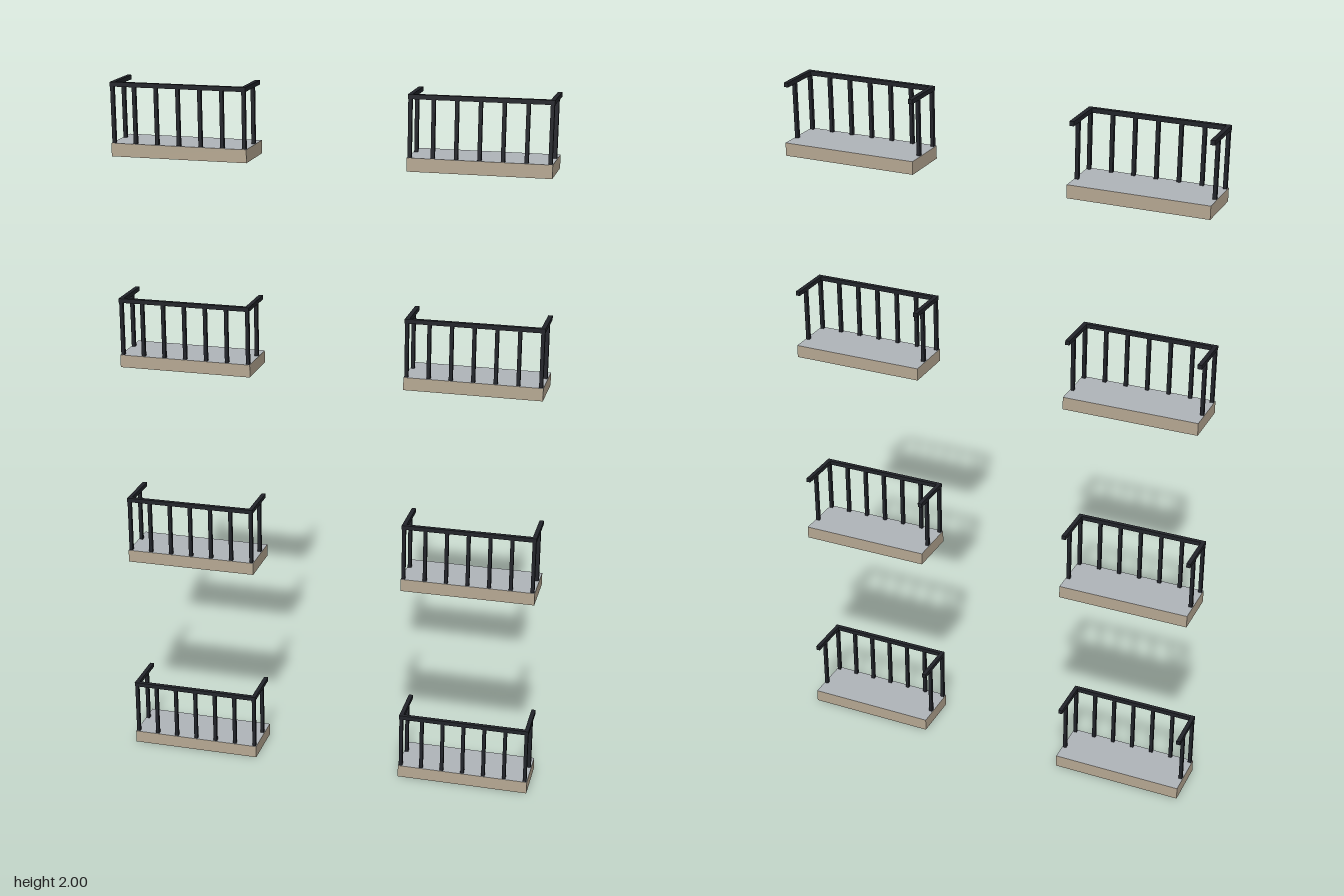
import * as THREE from 'three';

const stone = new THREE.MeshStandardMaterial({ name: 'stone', color: 0xb8aa94 });
const floorGrey = new THREE.MeshStandardMaterial({ name: 'floorGrey', color: 0xb0b5ba });
const iron = new THREE.MeshStandardMaterial({ name: 'iron', color: 0x22242a });

const WIDTH = 0.382, DEPTH = 0.145, SLAB = 0.036, HEIGHT = 0.2;
const RAIL = 0.012, POST = 0.01;

function box(name, material, w, h, d, x, y, z) {
  const mesh = new THREE.Mesh(new THREE.BoxGeometry(w, h, d), material);
  mesh.name = name;
  mesh.position.set(x, y, z);
  return mesh;
}

function createBalcony() {
  const balcony = new THREE.Group();
  balcony.name = 'balcony';

  // Stone slab with a grey walking surface on its top face
  balcony.add(box('slab', [stone, stone, floorGrey, stone, stone, stone],
    WIDTH, SLAB, DEPTH, 0, SLAB / 2, 0));

  // Handrail: front bar and two side bars, open towards the wall
  const railX = WIDTH / 2 - RAIL / 2 - 0.001;
  const railZ = DEPTH / 2 - RAIL / 2 - 0.002;
  const railY = HEIGHT - RAIL / 2;
  const sideFront = railZ - RAIL / 2, sideBack = -0.065;
  balcony.add(box('frontRail', iron, WIDTH - 0.002, RAIL, RAIL, 0, railY, railZ));

  // Balusters along the front
  const postH = HEIGHT - RAIL - SLAB;
  const postY = SLAB + postH / 2;
  for (let i = 0; i < 7; i++) {
    const x = -railX + (2 * railX * i) / 6;
    balcony.add(box('frontPost', iron, POST, postH, POST, x, postY, railZ));
  }

  // Side rails, each on one more post
  for (const s of [-1, 1]) {
    balcony.add(box('sideRail', iron, RAIL, RAIL, sideFront - sideBack,
      s * railX, railY, (sideFront + sideBack) / 2));
    balcony.add(box('sidePost', iron, POST, postH, POST, s * railX, postY, -0.019));
  }
  return balcony;
}

export function createModel() {
  const model = new THREE.Group();
  model.name = 'balconies';
  // Two columns over four storeys
  for (let floor = 0; floor < 4; floor++) {
    for (const s of [-1, 1]) {
      const balcony = createBalcony();
      balcony.position.set(s * 0.409, floor * 0.6, 0);
      model.add(balcony);
    }
  }
  return model;
}
